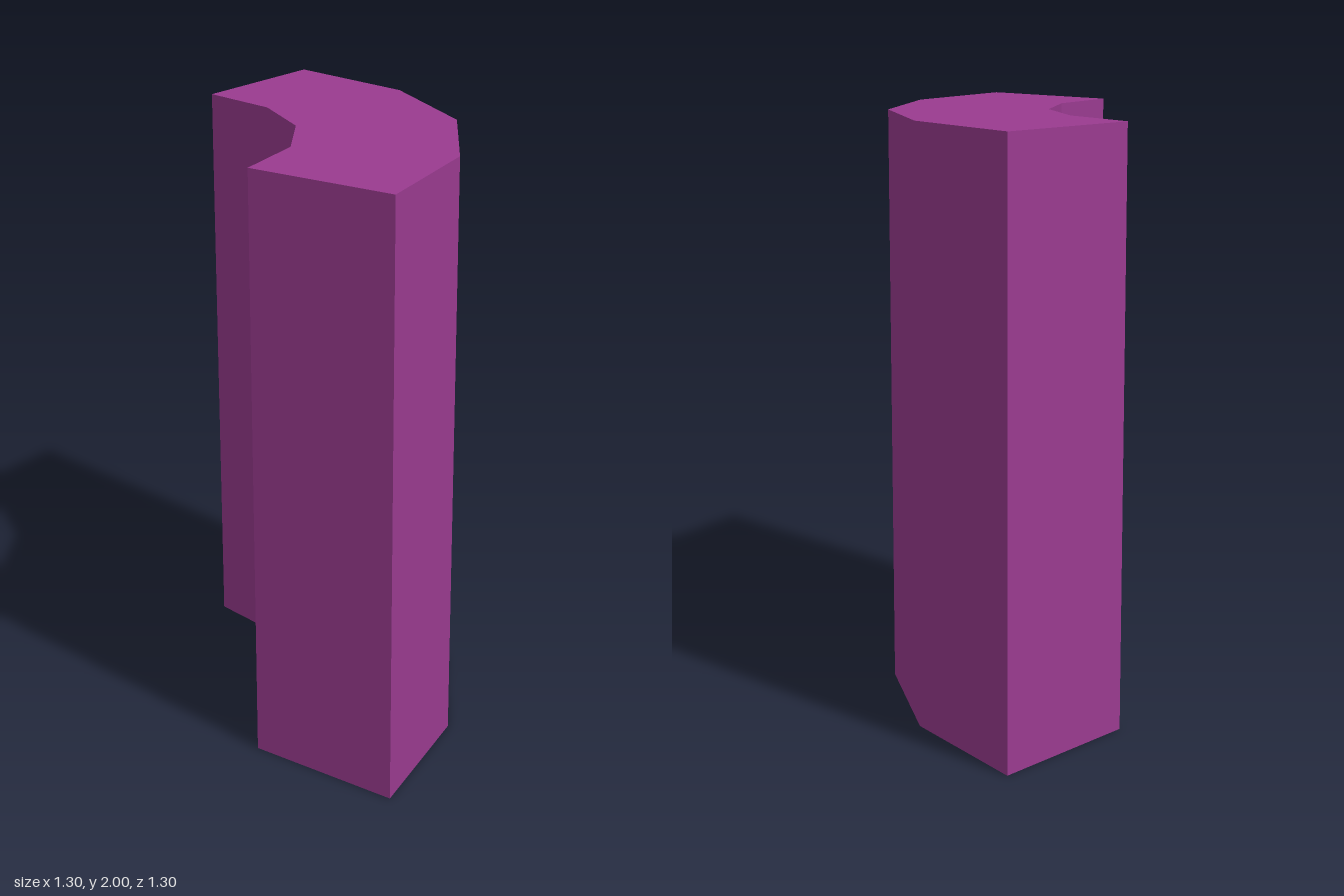
import * as THREE from 'three';

const HEIGHT = 2;
const OUTER = 1.296;
const INNER = 0.757;
const SEGMENTS = 4;

export function createModel() {
  const purple = new THREE.MeshStandardMaterial({ color: 0x9a3b90, flatShading: true });
  purple.name = 'purple';

  // Quarter-ring outline: outer arc forwards, inner arc back
  const arc = (radius) =>
    Array.from({ length: SEGMENTS + 1 }, (_, i) => {
      const a = (i / SEGMENTS) * (Math.PI / 2);
      return new THREE.Vector2(
        radius * Math.cos(a) - OUTER / 2,
        OUTER / 2 - radius * Math.sin(a)
      );
    });
  const outline = new THREE.Shape([...arc(OUTER), ...arc(INNER).reverse()]);

  // Extrude the outline, then stand it upright
  const geometry = new THREE.ExtrudeGeometry(outline, { depth: HEIGHT, bevelEnabled: false });
  geometry.rotateX(-Math.PI / 2);

  const block = new THREE.Mesh(geometry, purple);
  block.name = 'curvedBlock';

  const model = new THREE.Group();
  model.name = 'curvedCornerBlock';
  model.add(block);
  return model;
}
